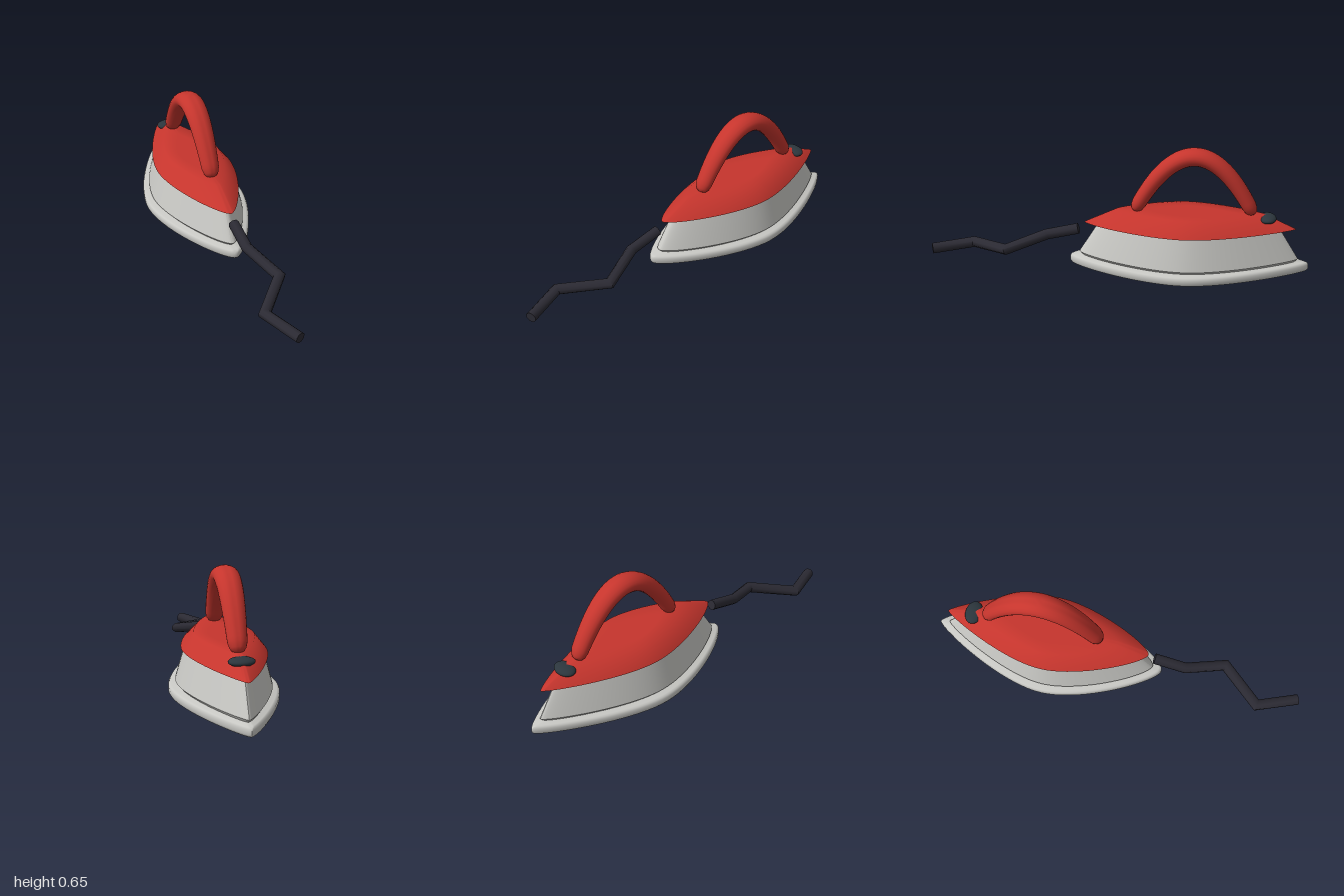
import * as THREE from 'three';
import { toCreasedNormals } from 'three/addons/utils/BufferGeometryUtils.js';

const V = (x, y, z) => new THREE.Vector3(x, y, z);
const paint = (name, color) => {
  const m = new THREE.MeshStandardMaterial({ color });
  m.name = name;
  return m;
};

// Skin a stack of equal-length rings and close both ends with a fan
function loft(rings, crease) {
  const n = rings[0].length, pos = [], idx = [];
  rings.forEach(r => r.forEach(p => pos.push(p.x, p.y, p.z)));
  for (let i = 0; i < rings.length - 1; i++) {
    for (let j = 0; j < n; j++) {
      const a = i * n + j, b = i * n + (j + 1) % n;
      idx.push(a, b, b + n, a, b + n, a + n);
    }
  }
  for (const i of [0, rings.length - 1]) {
    const c = pos.length / 3;
    const mid = rings[i].reduce((s, p) => s.add(p), V(0, 0, 0)).divideScalar(n);
    pos.push(mid.x, mid.y, mid.z);
    for (let j = 0; j < n; j++) {
      const a = i * n + j, b = i * n + (j + 1) % n;
      if (i) idx.push(a, b, c); else idx.push(b, a, c);
    }
  }
  const g = new THREE.BufferGeometry();
  g.setAttribute('position', new THREE.Float32BufferAttribute(pos, 3));
  g.setIndex(idx);
  return toCreasedNormals(g, crease);
}

// Boat-shaped outline, half width 1, z from -1 (pointed tip) to 1 (round heel)
function outline() {
  const P = (x, z) => new THREE.Vector2(x / 0.27, (z + 0.3775) / 0.6225);
  const heel = new THREE.CubicBezierCurve(P(0, 0.245), P(0.06, 0.245), P(0.27, -0.12), P(0.27, -0.36));
  const tip = new THREE.CubicBezierCurve(P(0.27, -0.36), P(0.27, -0.6), P(0.03, -1), P(0, -1));
  const half = [...heel.getPoints(20), ...tip.getPoints(20).slice(1)];
  const other = half.slice(1, -1).reverse().map(p => new THREE.Vector2(-p.x, p.y));
  return [...half, ...other];
}
const OUTLINE = outline();

// Layers are [y, half width, half length], all centred at zc
const hull = (zc, layers, crease) =>
  loft(layers.map(([y, w, l]) => OUTLINE.map(p => V(p.x * w, y, zc + p.y * l))), crease);

// Sweep an elliptical section along points; size(i) gives [side radius, normal radius]
function sweep(pts, sides, size, crease) {
  const rings = pts.map((p, i) => {
    const d0 = pts[i].clone().sub(pts[Math.max(i - 1, 0)]).normalize();
    const d1 = pts[Math.min(i + 1, pts.length - 1)].clone().sub(p).normalize();
    const t = d0.clone().add(d1).normalize();
    const mitre = 1 / Math.max(t.dot(d1), t.dot(d0));
    const flat = Math.abs(t.x) < 1e-6;
    const s = flat ? V(1, 0, 0) : V(0, 1, 0).cross(t).normalize();
    const u = t.clone().cross(s);
    const [a, b] = size(i);
    return Array.from({ length: sides }, (_, j) => {
      const q = (j + 0.5) / sides * Math.PI * 2;
      return p.clone()
        .addScaledVector(s, Math.cos(q) * a * (flat ? 1 : mitre))
        .addScaledVector(u, Math.sin(q) * b);
    });
  });
  return loft(rings, crease);
}

export function createModel() {
  const steel = paint('light steel', 0xc8c8c4);
  const red = paint('red plastic', 0xc6352d);
  const dark = paint('dark cord', 0x2b2a33);
  const slate = paint('slate button', 0x2c363d);
  const model = new THREE.Group();
  model.name = 'iron';
  const add = (name, geometry, material) => {
    const m = new THREE.Mesh(geometry, material);
    m.name = name;
    model.add(m);
    return m;
  };

  // Sole plate with rounded rim
  const rim = [[0, 0.016], [0.004, 0.006], [0.014, 0], [0.036, 0], [0.046, 0.006], [0.05, 0.016]];
  add('solePlate', hull(-0.3775, rim.map(([y, d]) => [y, 0.27 - d, 0.6225 - d]), 0.9), steel);

  // Tapered body with a small chamfer at the foot
  add('body', hull(-0.375, [
    [0.045, 0.216, 0.55], [0.065, 0.235, 0.57], [0.235, 0.189, 0.465],
  ], 0.6), steel);

  // Overhanging cover with sloped sides
  add('cover', hull(-0.38, [
    [0.23, 0.207, 0.547], [0.308, 0.145, 0.383], [0.308, 0.08, 0.21],
  ], 1.1), red);

  // Arched handle, wider on top, with domed feet
  const dome = [[1.05, 0.35], [1.04, 0.65], [1.015, 0.87], [0.97, 1]];
  const steps = dome.map(([s, k]) => [-s, k]);
  for (let i = -14; i <= 14; i++) steps.push([i / 15, 1]);
  steps.push(...dome.slice().reverse());
  add('handle', sweep(
    steps.map(([s]) => V(0, 0.603 - 0.27 * s * s, -0.4 + 0.29 * s)), 20,
    i => {
      const [s, k] = steps[i];
      return [k * (0.064 - 0.018 * s * s), k * (0.046 - 0.008 * s * s)];
    }, 1.1), red);

  // Button half sunk in the nose of the cover
  const button = add('button', new THREE.SphereGeometry(1, 24, 16), slate);
  button.scale.set(0.064, 0.022, 0.046);
  button.position.set(0, 0.285, -0.778);

  // Bent power cord
  const cord = [
    V(0, 0.19, 0.2), V(0, 0.15, 0.37), V(0.085, 0.09, 0.575), V(-0.085, 0.055, 0.78), V(0, 0.043, 0.99),
  ];
  add('cord', sweep(cord, 8, () => [0.028, 0.028], 0.9), dark);

  return model;
}
